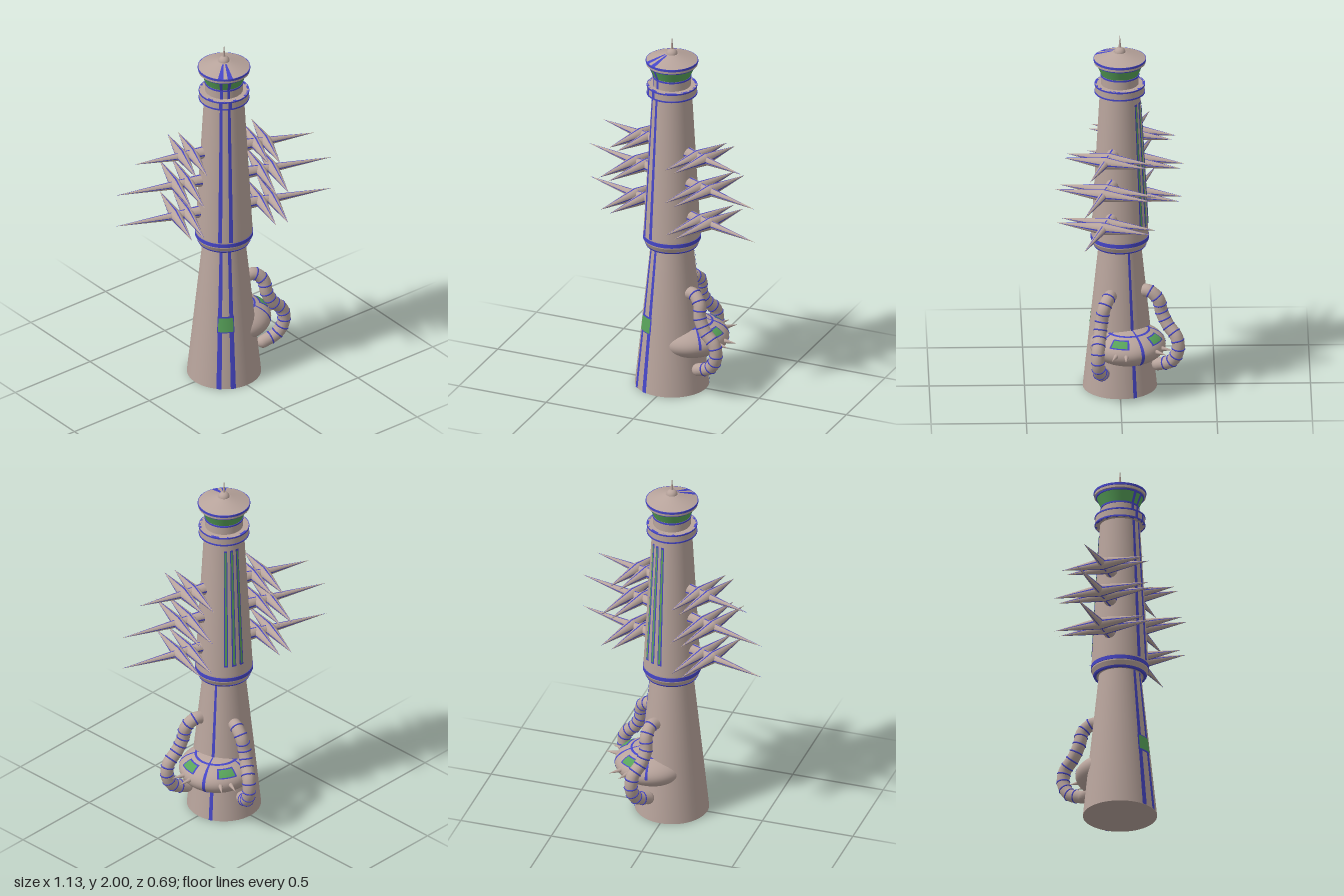
import * as THREE from 'three';

const D = Math.PI / 180;
const mat = (color, side = THREE.FrontSide) => new THREE.MeshStandardMaterial({ color, side });
const STONE = mat(0xb8a49c, THREE.DoubleSide);
const BLUE = mat(0x4646c8, THREE.DoubleSide);
const GREEN = mat(0x58a35a, THREE.DoubleSide);

function add(parent, name, geometry, material = STONE) {
  const mesh = new THREE.Mesh(geometry, material);
  mesh.name = name;
  parent.add(mesh);
  return mesh;
}

// Revolved solid; every straight run is its own piece so edges stay sharp
function turned(parent, name, points, material = STONE) {
  const group = new THREE.Group();
  group.name = name;
  for (let i = 0; i < points.length - 1; i++) {
    const pts = [points[i], points[i + 1]].map(p => new THREE.Vector2(p[0], p[1]));
    add(group, name + 'Face', new THREE.LatheGeometry(pts, 48), material);
  }
  parent.add(group);
  return group;
}

// Thin strip lying on a conical wall; angle is measured from +z towards +x
function strip(parent, name, angle, width, [r0, y0], [r1, y1], material = BLUE, lift = 0.003) {
  const g = new THREE.CylinderGeometry(r1 + lift, r0 + lift, Math.max(y1 - y0, 0.001), 4, 1, true,
    (angle - width / 2) * D, width * D);
  return add(parent, name, g.translate(0, (y0 + y1) / 2, 0), material);
}

// Full ring hugging a wall
const ring = (parent, name, r0, y0, r1, y1, material = BLUE) =>
  turned(parent, name, [[r0 - 0.01, y0], [r0 + 0.003, y0], [r1 + 0.003, y1], [r1 - 0.01, y1]], material);

// Cone with four thin blue seams, pointing along +x from its base
function spike(parent, name, radius, length) {
  const group = new THREE.Group();
  group.name = name;
  const place = g => g.translate(0, length / 2, 0).rotateZ(-Math.PI / 2);
  add(group, name + 'Cone', place(new THREE.ConeGeometry(radius, length, 16)));
  for (let k = 0; k < 4; k++) {
    const seam = new THREE.ConeGeometry(radius + 0.0012, length, 2, 1, true, k * Math.PI / 2 - 0.13, 0.26);
    add(group, name + 'Seam', place(seam), BLUE);
  }
  parent.add(group);
  return group;
}

// Main thorn with two double-ended cross thorns
function thornArm(y, length, half, scale) {
  const arm = new THREE.Group();
  arm.name = 'thornArm';
  arm.position.y = y;
  spike(arm, 'mainThorn', 0.037, length - 0.08).position.x = 0.08;
  for (const t of [0.2, 0.267]) for (const s of [-1, 1]) {
    const thorn = spike(arm, 'crossThorn', 0.033, half);
    thorn.position.x = t * scale;
    thorn.rotation.y = s * Math.PI / 2;
  }
  return arm;
}

// Ribbed hose; side mirrors it across the pod
function hose(parent, side) {
  const pts = [[0.09, 0.56, 0.09], [0.119, 0.562, 0.116], [0.147, 0.52, 0.155], [0.15, 0.45, 0.172],
    [0.178, 0.38, 0.195], [0.225, 0.32, 0.225], [0.234, 0.25, 0.23], [0.205, 0.18, 0.206], [0.14, 0.145, 0.157]];
  const curve = new THREE.CatmullRomCurve3(pts.map(p => new THREE.Vector3(p[0], p[1], p[2] * side)));
  add(parent, 'hose', new THREE.TubeGeometry(curve, 60, 0.034, 16));
  for (const t of [0, 1]) {
    add(parent, 'hoseEnd', new THREE.SphereGeometry(0.034, 16, 10)).position.copy(curve.getPointAt(t));
  }
  const n = 13;
  for (let i = 1; i < n; i++) {
    const rib = add(parent, 'hoseRib', new THREE.TorusGeometry(0.033, 0.0045, 6, 20), BLUE);
    rib.position.copy(curve.getPointAt(i / n));
    rib.quaternion.setFromUnitVectors(new THREE.Vector3(0, 0, 1), curve.getTangentAt(i / n));
  }
}

// Flattened pod on the flank of the shaft, with windows, seams, prongs and hoses
function sidePod() {
  const pod = new THREE.Group();
  pod.name = 'sidePod';
  pod.rotation.y = 23 * D;
  const patch = (name, angle, width, top, bottom, lift, material) => {
    const g = new THREE.SphereGeometry(1, Math.ceil(width / 6), Math.ceil((bottom - top) / 5),
      Math.PI - (angle + width / 2) * D, width * D, top * D, (bottom - top) * D);
    g.scale(0.2 + lift, 0.1 + lift, 0.2 + lift).translate(0.1, 0.275, 0);
    return add(pod, name, g, material);
  };
  patch('podShell', 0, 360, 0, 180, 0, STONE);
  patch('podSeam', 0, 5, 0, 180, 0.002, BLUE);
  patch('podCrownRing', 0, 360, 32, 36, 0.002, BLUE);
  for (const s of [-1, 1]) {
    patch('podSideSeam', s * 75, 4, 0, 90, 0.002, BLUE);
    patch('podWindowFrame', s * 38, 34, 43, 67, 0.002, BLUE);
    patch('podWindow', s * 38, 28, 46, 64, 0.004, GREEN);
    for (const a of [26, 42]) {
      const prong = add(pod, 'podProng', new THREE.ConeGeometry(0.014, 0.08, 12).rotateZ(-Math.PI / 2));
      prong.position.set(0.1 + 0.228 * Math.cos(a * D), 0.28, s * 0.228 * Math.sin(a * D));
      prong.rotation.y = -s * a * D;
    }
    hose(pod, s);
  }
  return pod;
}

export function createModel() {
  const model = new THREE.Group();
  model.name = 'tower';

  // Tapered shaft, upper casing, collar and neck
  turned(model, 'shaft', [[0, 0], [0.195, 0], [0.11, 0.82]]);
  turned(model, 'upperCasing', [[0.1, 0.805], [0.135, 0.805], [0.15, 0.835], [0.15, 0.87], [0.105, 1.68]]);
  turned(model, 'collar', [[0.09, 1.675], [0.13, 1.675], [0.13, 1.725], [0.09, 1.725]]);
  turned(model, 'neck', [[0.099, 1.72], [0.099, 1.78]]);

  // Lamp room, roof and finial
  turned(model, 'lampGlass', [[0.098, 1.778], [0.124, 1.842]], GREEN);
  turned(model, 'roof', [[0.11, 1.84], [0.135, 1.843], [0.135, 1.868], [0.035, 1.902], [0, 1.905]]);
  add(model, 'finialDome', new THREE.SphereGeometry(0.03, 24, 8, 0, Math.PI * 2, 0, Math.PI / 2)).position.y = 1.9;
  add(model, 'finialNeedle', new THREE.ConeGeometry(0.008, 0.08, 12)).position.y = 1.96;

  // Blue trim rings
  ring(model, 'casingFootRing', 0.134, 0.803, 0.138, 0.811);
  ring(model, 'casingRing', 0.15, 0.842, 0.15, 0.863);
  ring(model, 'collarRing', 0.13, 1.675, 0.13, 1.683);
  ring(model, 'collarRing', 0.13, 1.717, 0.13, 1.725);
  ring(model, 'neckRing', 0.099, 1.77, 0.099, 1.779);
  ring(model, 'lampRing', 0.123, 1.834, 0.125, 1.843);
  ring(model, 'roofRing', 0.135, 1.856, 0.135, 1.868);

  // Twin stripes climbing from the ground to the roof peak
  for (const a of [-46, -24]) {
    strip(model, 'shaftStripe', a, 8, [0.195, 0], [0.112, 0.805]);
    strip(model, 'casingStripe', a, 8, [0.15, 0.87], [0.106, 1.675]);
    strip(model, 'collarStripe', a, 8, [0.13, 1.675], [0.13, 1.725]);
    strip(model, 'neckStripe', a, 8, [0.099, 1.725], [0.099, 1.778]);
    strip(model, 'lampStripe', a, 8, [0.098, 1.778], [0.124, 1.842]);
    strip(model, 'roofStripe', a, 12, [0.135, 1.868], [0.035, 1.902]);
  }
  strip(model, 'podLineStripe', 113, 6, [0.195, 0], [0.112, 0.805]);

  // Green panel over the entrance
  strip(model, 'entrancePanelFrame', -35, 32, [0.1615, 0.325], [0.1515, 0.42], BLUE, 0.004);
  strip(model, 'entrancePanel', -35, 28, [0.161, 0.333], [0.152, 0.413], GREEN, 0.008);

  // Tall slit windows at the back of the casing
  for (const a of [172, 155, 138]) {
    strip(model, 'slitFrame', a, 9, [0.1467, 0.93], [0.1078, 1.63]);
    strip(model, 'slitGlass', a, 4.5, [0.1461, 0.94], [0.1083, 1.62], GREEN, 0.005);
  }

  // Three tiers of thorn arms on both sides
  for (const [y, length, half, scale] of [[1.0, 0.6, 0.262, 1], [1.19, 0.6, 0.272, 1], [1.36, 0.5, 0.235, 0.87]]) {
    for (const turn of [0, Math.PI]) {
      const arm = thornArm(y, length, half, scale);
      arm.rotation.y = turn - 19.5 * D;
      model.add(arm);
    }
  }

  model.add(sidePod());
  return model;
}
